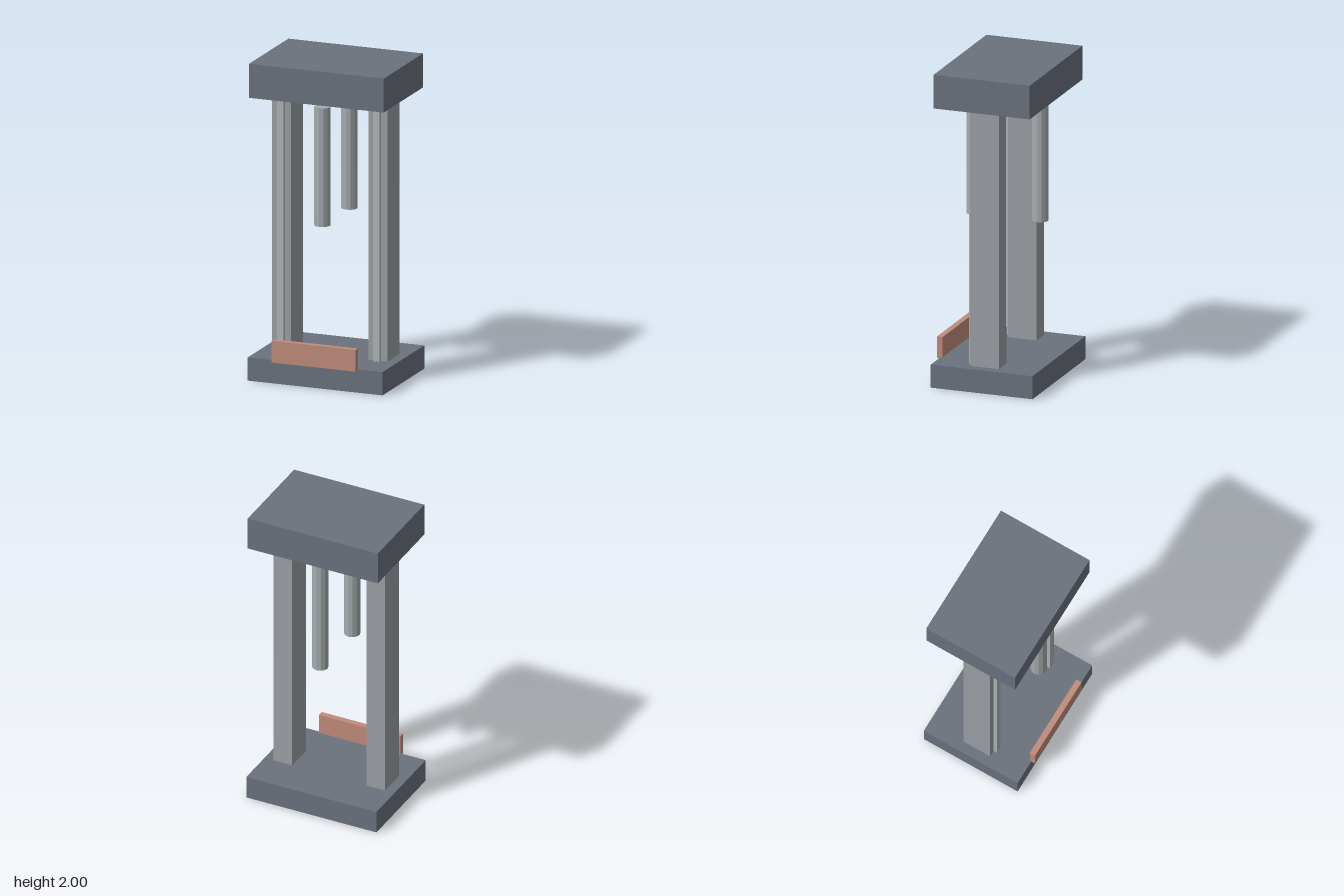
import * as THREE from 'three';

const material = (color) => new THREE.MeshStandardMaterial({ color, flatShading: true });

export function createModel() {
  const model = new THREE.Group();
  const slate = material(0x6b727d);
  const steel = material(0x9b9fa4);
  const pale = material(0xb0b5b8);
  const rodGrey = material(0xa5acae);
  const copper = material(0xc08c7c);

  // Box given by its lower and upper limits on each axis
  function addBox(name, mat, [x0, x1], [y0, y1], [z0, z1]) {
    const mesh = new THREE.Mesh(new THREE.BoxGeometry(x1 - x0, y1 - y0, z1 - z0), mat);
    mesh.position.set((x0 + x1) / 2, (y0 + y1) / 2, (z0 + z1) / 2);
    mesh.name = name;
    model.add(mesh);
  }

  // Base and top block
  addBox('base', slate, [-0.445, 0.445], [0, 0.147], [-0.345, 0.321]);
  addBox('topBlock', slate, [-0.445, 0.445], [1.785, 2], [-0.327, 0.302]);

  // Pillars with a narrow strip down each front
  for (const [side, s] of [['left', 1], ['right', -1]]) {
    const x = s * 0.318;
    addBox(side + 'Pillar', steel, [x - 0.063, x + 0.063], [0.147, 1.785], [-0.101, 0.088]);
    addBox(side + 'PillarStrip', pale, [x - 0.021, x + 0.021], [0.147, 1.785], [0.088, 0.111]);
  }

  // Hanging rods, front and back
  for (const [name, z] of [['frontRod', 0.207], ['backRod', -0.224]]) {
    const rod = new THREE.Mesh(new THREE.CylinderGeometry(0.051, 0.051, 0.75, 12), rodGrey);
    rod.position.set(0, 1.378, z);
    rod.name = name;
    model.add(rod);
  }

  // Front plate
  addBox('frontPlate', copper, [-0.278, 0.278], [0.138, 0.276], [0.308, 0.345]);

  return model;
}
